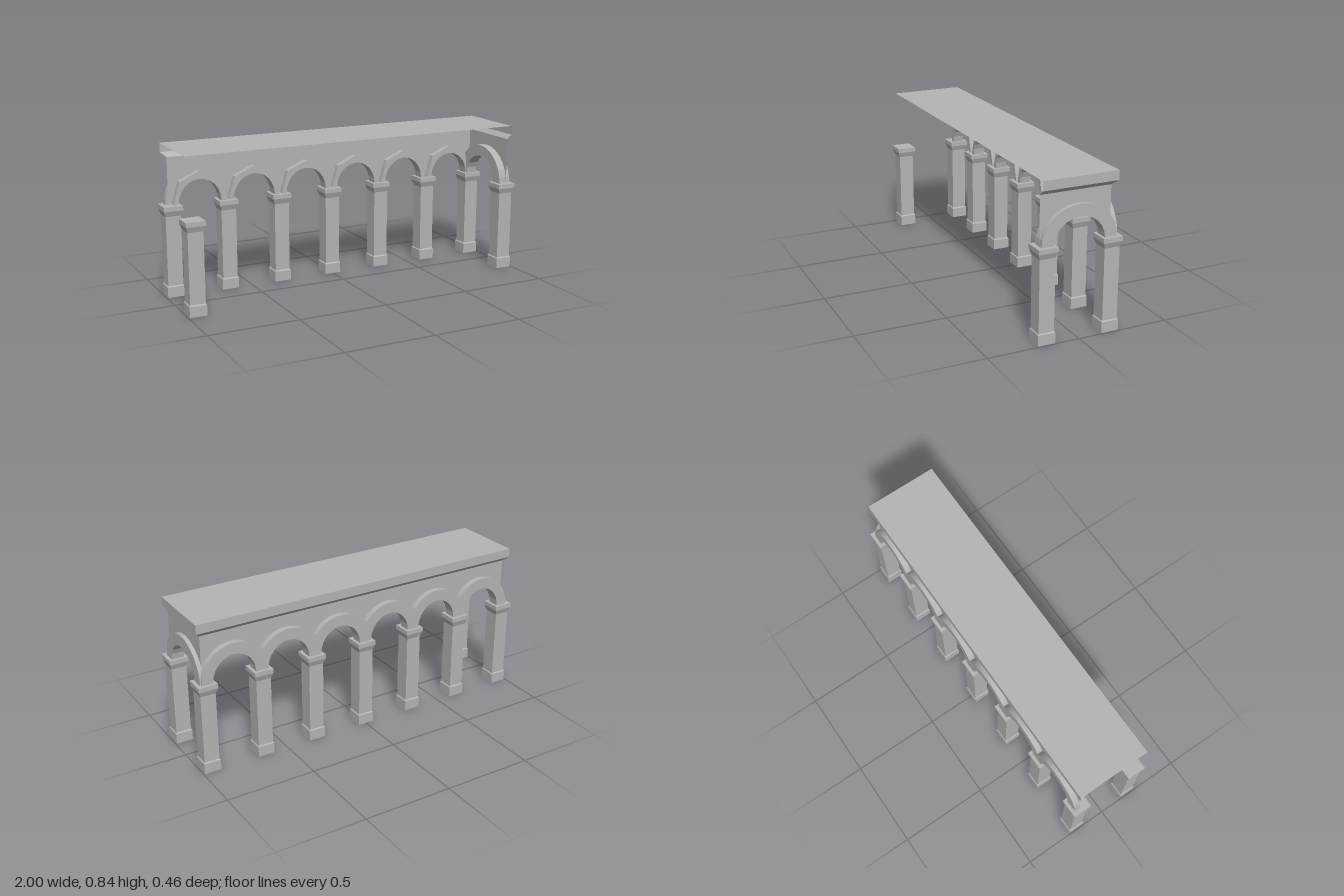
import * as THREE from 'three';

const SPRING = 0.505;          // height where arches rest on the capitals
const COL_X = 0.9465, COL_Z = 0.178;
const BAY = (COL_X * 2) / 6;
const WALL_X = 0.957, WALL_Z = 0.18, WALL_TOP = 0.765;

const V = (x, y) => new THREE.Vector2(x, y);

// Half ellipse above the springing line, running from left to right
function arc(rx, ry, n, cx = 0) {
  return Array.from({ length: n + 1 }, (_, i) => {
    const a = Math.PI * (1 - i / n);
    return V(cx + rx * Math.cos(a), SPRING + ry * Math.sin(a));
  });
}

// Rough pointed opening of a bay in the long wall
function pointed(cx = 0) {
  return [[-0.15, 0], [-0.113, 0.125], [0, 0.175], [0.113, 0.125], [0.15, 0]]
    .map(([x, y]) => V(cx + x, SPRING + y));
}

// Solid arch band between an outer and an inner outline, centred in depth
function band(outer, inner, depth) {
  const shape = new THREE.Shape([...outer, ...inner.slice().reverse()]);
  return new THREE.ExtrudeGeometry(shape, { depth, bevelEnabled: false }).translate(0, 0, -depth / 2);
}

// Square pier with base block, shaft and flared capital
function pierGeometry() {
  const profile = [[0.0475, 0], [0.0475, 0.058], [0.0425, 0.065], [0.0425, 0.45],
    [0.0535, 0.48], [0.0535, SPRING], [0, SPRING]];
  const pts = profile.map(([r, y]) => V(r * Math.SQRT2, y));
  const geo = new THREE.LatheGeometry(pts, 4, Math.PI / 4).toNonIndexed();
  geo.computeVertexNormals();
  return geo;
}

// Cornice swept along the back and round the right end, with a mitred corner
function corniceGeometry() {
  const profile = [[0, WALL_TOP], [0.027, 0.79], [0.027, 0.84]];
  const path = [
    (o) => [-WALL_X - o, -WALL_Z - o],
    (o) => [WALL_X + o, -WALL_Z - o],
    (o) => [WALL_X + o, 0.207],
  ];
  const pos = [];
  for (let s = 0; s < 2; s++) {
    for (let p = 0; p < 2; p++) {
      const at = (k, j) => {
        const [x, z] = path[k](profile[j][0]);
        return [x, profile[j][1], z];
      };
      const a = at(s, p), b = at(s + 1, p), c = at(s + 1, p + 1), d = at(s, p + 1);
      pos.push(...a, ...c, ...b, ...a, ...d, ...c);
    }
  }
  const geo = new THREE.BufferGeometry();
  geo.setAttribute('position', new THREE.Float32BufferAttribute(pos, 3));
  geo.computeVertexNormals();
  return geo;
}

export function createModel() {
  const group = new THREE.Group();
  const stone = new THREE.MeshStandardMaterial({ color: 0xb4b4b4, side: THREE.DoubleSide });
  stone.name = 'grey stone';

  const add = (name, geo, x = 0, y = 0, z = 0) => {
    const mesh = new THREE.Mesh(geo, stone);
    mesh.name = name;
    mesh.position.set(x, y, z);
    group.add(mesh);
    return mesh;
  };

  // Piers: seven along the back, one at each front corner
  const pier = pierGeometry();
  for (let i = 0; i < 7; i++) add('backPier', pier, -COL_X + i * BAY, 0, -COL_Z);
  for (const side of [-1, 1]) add('frontPier', pier, side * COL_X, 0, COL_Z);

  // Back arcade: round outer band and pointed inner band in each bay
  const wallOutline = [V(-WALL_X, SPRING)];
  for (let i = 0; i < 6; i++) {
    const cx = -COL_X + (i + 0.5) * BAY;
    const lo = i === 0 ? -1 : -BAY / 2, hi = i === 5 ? 1 : BAY / 2;
    const inner = arc(0.122, 0.132, 12);
    const outer = arc(0.185, 0.194, 24).map((p) => V(Math.min(hi, Math.max(lo, p.x)), p.y));
    add('archOuterBand', band(outer, inner, 0.033), cx, 0, -0.1965);
    add('archInnerBand', band(pointed(), inner, 0.033), cx, 0, -0.1635);
    wallOutline.push(...pointed(cx));
  }
  wallOutline.push(V(WALL_X, SPRING), V(WALL_X, WALL_TOP), V(-WALL_X, WALL_TOP));
  add('backWall', new THREE.ShapeGeometry(new THREE.Shape(wallOutline)).rotateY(Math.PI).scale(-1, 1, 1), 0, 0, -WALL_Z);

  // Right end: wide arch spanning from the back pier to the front pier
  const endArch = band(arc(0.207, 0.194, 16), arc(0.14, 0.13, 12), 0.068).rotateY(-Math.PI / 2);
  add('endArch', endArch, 0.946);
  const endOutline = [V(-WALL_Z, SPRING), ...arc(0.17, 0.16, 12), V(0.207, SPRING),
    V(0.207, WALL_TOP), V(-WALL_Z, WALL_TOP)];
  add('endWall', new THREE.ShapeGeometry(new THREE.Shape(endOutline)).rotateY(-Math.PI / 2).scale(1, 1, 1), WALL_X);

  // Cornice and flat roof sheet
  add('cornice', corniceGeometry());
  const roof = new THREE.PlaneGeometry(2 * (WALL_X + 0.027), 0.414).rotateX(-Math.PI / 2);
  add('roof', roof, 0, 0.84, 0);

  return group;
}
